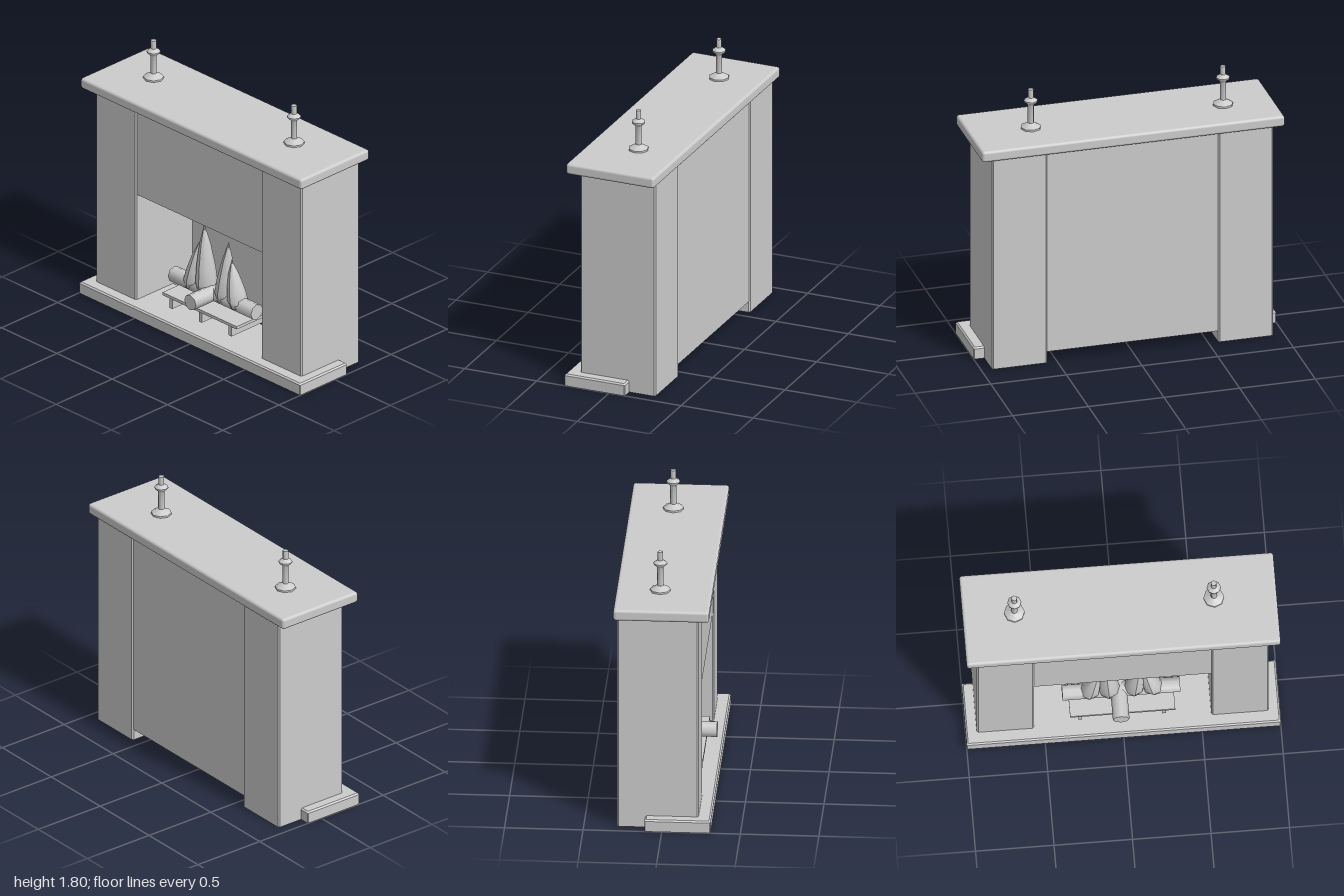
import * as THREE from 'three';
import { toCreasedNormals } from 'three/addons/utils/BufferGeometryUtils.js';
import { RoundedBoxGeometry } from 'three/addons/geometries/RoundedBoxGeometry.js';

const stone = new THREE.MeshStandardMaterial({ color: 0xcccccc, side: THREE.DoubleSide });
stone.name = 'plain grey';

function add(parent, name, geometry, x = 0, y = 0, z = 0) {
  const mesh = new THREE.Mesh(geometry, stone);
  mesh.name = name;
  mesh.position.set(x, y, z);
  parent.add(mesh);
  return mesh;
}

// Chamfered rectangular shell, open below; levels are [y, inset] pairs.
function shell(w, d, chamfer, levels, capTop) {
  const ring = ([y, inset]) => {
    const a = w / 2 - inset, b = d / 2 - inset, c = chamfer;
    return [[a, b - c], [a - c, b], [c - a, b], [-a, b - c],
      [-a, c - b], [c - a, -b], [a - c, -b], [a, c - b]].map(([x, z]) => [x, y, z]);
  };
  const pos = [];
  const tri = (...corners) => corners.forEach((p) => pos.push(...p));
  for (let k = 0; k + 1 < levels.length; k++) {
    const lo = ring(levels[k]), hi = ring(levels[k + 1]);
    for (let i = 0; i < 8; i++) {
      const j = (i + 1) % 8;
      tri(lo[i], hi[j], lo[j]);
      tri(lo[i], hi[i], hi[j]);
    }
  }
  if (capTop) {
    const top = ring(levels[levels.length - 1]);
    for (let i = 1; i < 7; i++) tri(top[0], top[i + 1], top[i]);
  }
  const g = new THREE.BufferGeometry();
  g.setAttribute('position', new THREE.Float32BufferAttribute(pos, 3));
  // Outline runs clockwise from above, so turn every triangle outward.
  const p = g.attributes.position;
  const a = new THREE.Vector3(), b = new THREE.Vector3(), c = new THREE.Vector3();
  const centre = new THREE.Vector3(0, levels[0][0], 0);
  for (let i = 0; i < p.count; i += 3) {
    a.fromBufferAttribute(p, i);
    b.fromBufferAttribute(p, i + 1);
    c.fromBufferAttribute(p, i + 2);
    const n = b.clone().sub(a).cross(c.clone().sub(a));
    if (n.dot(a.clone().sub(centre)) < 0) {
      p.setXYZ(i + 1, c.x, c.y, c.z);
      p.setXYZ(i + 2, b.x, b.y, b.z);
    }
  }
  g.computeVertexNormals();
  return g;
}

const lathe = (profile, sides) =>
  new THREE.LatheGeometry(profile.map(([r, y]) => new THREE.Vector2(r, y)), sides);

// Flame: bulging spike whose tip leans sideways.
function flame(radius, height, lean) {
  const g = lathe([[0, 0.02], [radius * 0.82, 0], [radius, height * 0.14],
    [radius * 0.86, height * 0.38], [radius * 0.52, height * 0.7], [0, height]], 8);
  const p = g.attributes.position;
  for (let i = 0; i < p.count; i++) p.setX(i, p.getX(i) + lean * p.getY(i) / height);
  g.computeVertexNormals();
  return g;
}

export function createModel() {
  const model = new THREE.Group();
  model.name = 'fireplace';

  // Hearth and mantel shelf
  add(model, 'hearth', shell(2, 0.42, 0.005, [[0, 0], [0.07, 0], [0.08, 0.01]], true), 0, 0, 0.1);
  add(model, 'mantelShelf', new RoundedBoxGeometry(2, 0.074, 0.61, 3, 0.018), 0, 1.495, -0.005);

  // Hollow pillars in four courses
  const courses = [0, 0.37, 0.735, 1.105, 1.465];
  for (const side of [-1, 1]) {
    const pillar = new THREE.Group();
    pillar.name = side > 0 ? 'leftPillar' : 'rightPillar';
    pillar.position.set(side * 0.747, 0, -0.03);
    for (let i = 0; i < 4; i++) {
      add(pillar, 'course', shell(0.366, 0.52, 0.01, [[courses[i], 0], [courses[i + 1], 0]], false));
    }
    model.add(pillar);
  }

  // Chimney breast and back wall
  for (const [y0, y1] of [[0.83, 1.15], [1.15, 1.465]]) {
    add(model, 'chimneyBreast', new THREE.BoxGeometry(1.13, y1 - y0, 0.02), 0, (y0 + y1) / 2, 0.213);
  }
  add(model, 'backWall', new THREE.BoxGeometry(1.13, 1.39, 0.01), 0, 0.77, -0.278);

  // Grate with runners
  const grate = new THREE.Group();
  grate.name = 'grate';
  add(grate, 'grateTop', new THREE.BoxGeometry(0.67, 0.02, 0.32), 0, 0.205, 0.06);
  for (const x of [-0.27, -0.003, 0.265]) {
    add(grate, 'grateLeg', new THREE.BoxGeometry(0.026, 0.08, 0.3), x, 0.16, 0.06);
  }
  model.add(grate);

  // Crossed logs
  const log = (length) => toCreasedNormals(new THREE.CylinderGeometry(0.053, 0.053, length, 8), 0.9);
  add(model, 'longLog', log(0.75), 0, 0.283, 0.08).rotation.z = Math.PI / 2;
  add(model, 'shortLog', log(0.39), -0.015, 0.283, 0.095).rotation.x = Math.PI / 2;

  // Flames: x, radius, height, lean
  for (const [x, r, h, lean] of [[-0.205, 0.066, 0.34, 0.063], [-0.075, 0.072, 0.48, -0.025],
    [0.08, 0.066, 0.43, 0.042], [0.21, 0.068, 0.31, -0.062]]) {
    add(model, 'flame', flame(r, h, lean), x, 0.262, 0.08);
  }

  // Candlesticks
  const stick = toCreasedNormals(lathe([[0.066, 0], [0.066, 0.014], [0.02, 0.04], [0.02, 0.165],
    [0.045, 0.188], [0.045, 0.196], [0.018, 0.215], [0.018, 0.272], [0, 0.272]], 8), 0.9);
  for (const x of [-0.67, 0.6]) add(model, 'candlestick', stick, x, 1.53, -0.03);

  return model;
}
